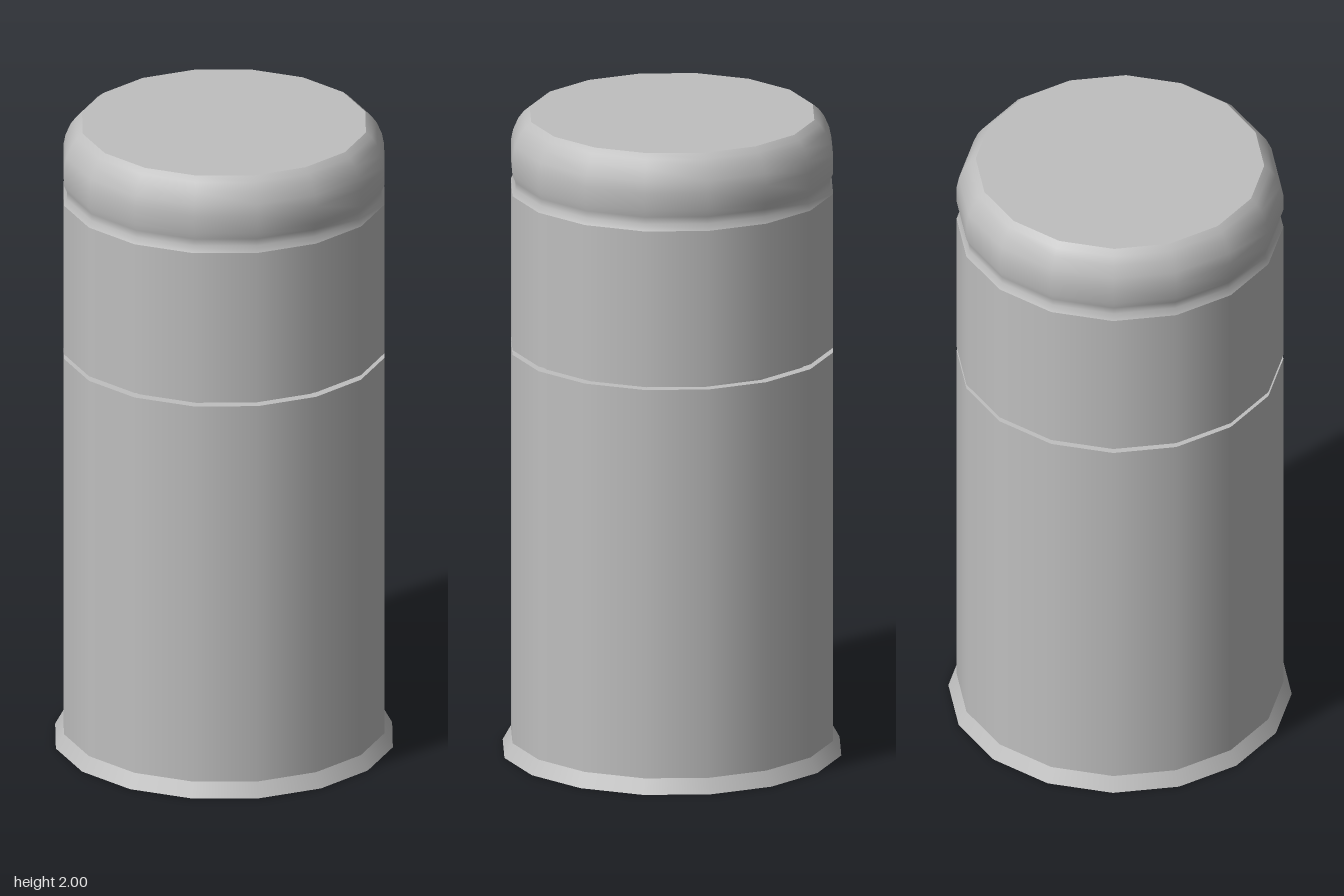
import * as THREE from 'three';

const SIDES = 16;

export function createModel() {
  const model = new THREE.Group();
  const metal = new THREE.MeshStandardMaterial({ color: 0xbfbfbf, side: THREE.DoubleSide });
  metal.name = 'plain grey metal';

  // One smooth revolved band; neighbouring bands meet in a hard edge.
  function band(name, profile) {
    const points = profile.map(([r, y]) => new THREE.Vector2(r, y));
    const mesh = new THREE.Mesh(new THREE.LatheGeometry(points, SIDES), metal);
    mesh.name = name;
    model.add(mesh);
  }

  // Open, flared foot and lower sleeve
  band('flaredFoot', [[0.52, 0], [0.495, 0.045]]);
  band('lowerSleeve', [[0.495, 0.045], [0.495, 1.27]]);

  // Narrow tear-off groove
  band('grooveLowerLip', [[0.495, 1.27], [0.465, 1.27]]);
  band('grooveFloor', [[0.465, 1.27], [0.465, 1.285]]);
  band('grooveUpperLip', [[0.465, 1.285], [0.495, 1.285]]);

  // Upper sleeve, shallow neck bead and rounded shoulder
  band('upperSleeve', [[0.495, 1.285], [0.495, 1.77]]);
  band('neckAndShoulder', [
    [0.495, 1.77], [0.485, 1.79], [0.485, 1.812], [0.495, 1.835],
    [0.495, 1.89], [0.488, 1.925], [0.472, 1.962], [0.455, 1.985], [0.437, 2],
  ]);

  // Flat top
  band('flatTop', [[0.437, 2], [0, 2]]);

  return model;
}
